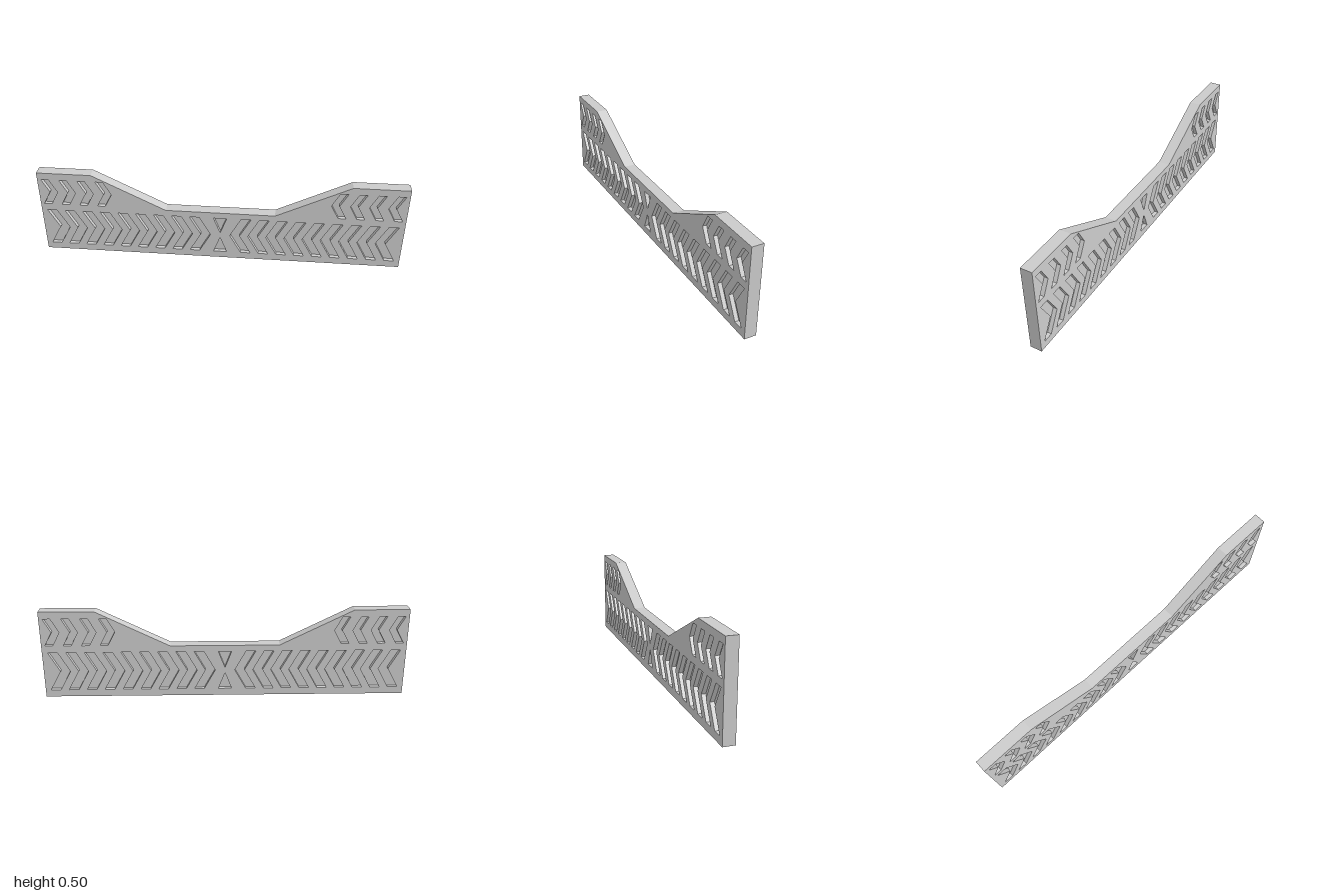
import * as THREE from 'three';
import { mergeGeometries } from 'three/addons/utils/BufferGeometryUtils.js';

const HALF = 0.032;   // half thickness of the barrier
const DEPTH = 0.022;  // depth of the recessed pattern

const toShape = (pts) => new THREE.Shape(pts.map(([x, y]) => new THREE.Vector2(x, y)));
const mirror = (pts) => pts.map(([x, y]) => [-x, y]).reverse();

// Chevron pointing to +x, clockwise
const chevron = (x, y0, y1, arm, reach) => {
  const mid = (y0 + y1) / 2;
  return [[x, y1], [x + arm, y1], [x + arm + reach, mid], [x + arm, y0], [x, y0], [x + reach, mid]];
};

// Flat-sided strip along a closed loop; faces outward for counter-clockwise loops
function walls(pts, z0, z1) {
  const pos = [];
  pts.forEach(([ax, ay], i) => {
    const [bx, by] = pts[(i + 1) % pts.length];
    pos.push(ax, ay, z0, bx, by, z0, bx, by, z1, ax, ay, z0, bx, by, z1, ax, ay, z1);
  });
  const geo = new THREE.BufferGeometry();
  geo.setAttribute('position', new THREE.Float32BufferAttribute(pos, 3));
  geo.computeVertexNormals();
  return geo;
}

// Flat face without uv, so it merges with the walls
function face(shape, z) {
  const geo = new THREE.ShapeGeometry(shape).toNonIndexed();
  geo.deleteAttribute('uv');
  return geo.translate(0, 0, z);
}

export function createModel() {
  const group = new THREE.Group();
  group.name = 'barrier';
  const material = new THREE.MeshStandardMaterial({ color: 0xcccccc, flatShading: true });
  const add = (name, geo, parent = group) => {
    const mesh = new THREE.Mesh(geo, material);
    mesh.name = name;
    parent.add(mesh);
  };

  // Outline with a lowered middle, counter-clockwise
  const outline = [[-1, 0], [1, 0], [1, 0.5], [0.7, 0.5], [0.3, 0.3], [-0.3, 0.3], [-0.7, 0.5], [-1, 0.5]];

  // Recesses: a long lower row, a short upper row and two middle triangles
  const recesses = [];
  const addPair = (pts) => recesses.push(pts, mirror(pts));
  for (let i = 0; i < 9; i++) addPair(chevron(-0.97 + i * 0.1, 0.04, 0.265, 0.054, 0.062));
  for (let i = 0; i < 4; i++) addPair(chevron(-0.98 + i * 0.1, 0.305, 0.46, 0.042, 0.042));
  recesses.push([[-0.037, 0.265], [0.037, 0.265], [0, 0.168]]);
  recesses.push([[0, 0.136], [0.037, 0.04], [-0.037, 0.04]]);

  // Rim
  add('rim', walls(outline, -HALF, HALF));

  // Front and back are the same side turned half round
  const panel = toShape(outline);
  panel.holes = recesses.map(toShape);
  const panelGeo = face(panel, HALF);
  const recessGeo = mergeGeometries(recesses.flatMap((pts) => [
    face(toShape(pts), HALF - DEPTH),
    walls(pts, HALF - DEPTH, HALF),
  ]));
  for (const [name, turn] of [['front', 0], ['back', Math.PI]]) {
    const side = new THREE.Group();
    side.name = name + 'Side';
    side.rotation.y = turn;
    add(name + 'Panel', panelGeo, side);
    add(name + 'Recesses', recessGeo, side);
    group.add(side);
  }
  return group;
}
